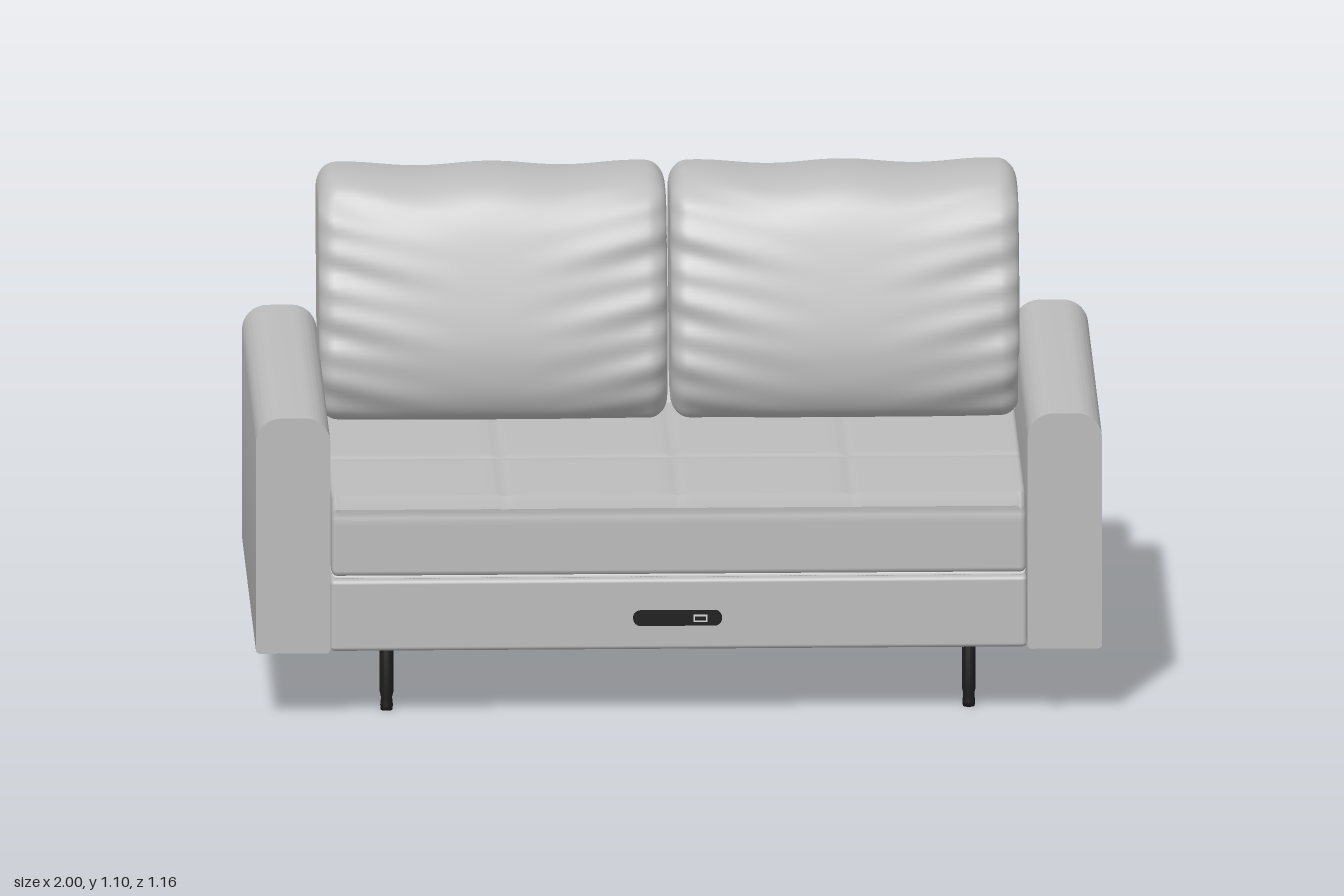
import * as THREE from 'three';
import { RoundedBoxGeometry } from 'three/addons/geometries/RoundedBoxGeometry.js';
import { toCreasedNormals } from 'three/addons/utils/BufferGeometryUtils.js';

const fabric = new THREE.MeshStandardMaterial({ color: 0xbcbcbc });
fabric.name = 'grey fabric';
const black = new THREE.MeshStandardMaterial({ color: 0x1c1c1c });
black.name = 'black';
const light = new THREE.MeshStandardMaterial({ color: 0xd8d8d8 });
light.name = 'light grey';

function add(parent, name, geometry, material, x = 0, y = 0, z = 0) {
  const mesh = new THREE.Mesh(geometry, material);
  mesh.name = name;
  mesh.position.set(x, y, z);
  parent.add(mesh);
  return mesh;
}

// Soft body: a closed (z, y) profile swept along x, with rounded ends and a surface rule.
function softLoft(profile, x0, x1, r, steps, rule) {
  const n = profile.length;
  const zs = profile.map((p) => p.x), ys = profile.map((p) => p.y);
  const cz = (Math.min(...zs) + Math.max(...zs)) / 2, hz = (Math.max(...zs) - Math.min(...zs)) / 2;
  const cy = (Math.min(...ys) + Math.max(...ys)) / 2, hy = (Math.max(...ys) - Math.min(...ys)) / 2;
  const sections = [];
  const round = 8;
  for (let k = 0; k <= round; k++) {
    const a = (k / round) * Math.PI / 2;
    sections.push([x0 + r * (1 - Math.cos(a)), r * (1 - Math.sin(a))]);
  }
  for (let k = 1; k < steps; k++) sections.push([x0 + r + (x1 - x0 - 2 * r) * k / steps, 0]);
  for (let k = round; k >= 0; k--) {
    const a = (k / round) * Math.PI / 2;
    sections.push([x1 - r * (1 - Math.cos(a)), r * (1 - Math.sin(a))]);
  }
  const positions = [], index = [];
  for (const [x, inset] of sections) {
    for (const p of profile) {
      const v = new THREE.Vector3(x, cy + (p.y - cy) * (1 - inset / hy), cz + (p.x - cz) * (1 - inset / hz));
      rule(v, (x - x0) / (x1 - x0));
      positions.push(v.x, v.y, v.z);
    }
  }
  const m = sections.length;
  for (let j = 0; j < m - 1; j++) {
    for (let i = 0; i < n; i++) {
      const a = j * n + i, d = j * n + (i + 1) % n;
      index.push(a, a + n, d, a + n, d + n, d);
    }
  }
  // End caps
  positions.push(x0, cy, cz, x1, cy, cz);
  for (let i = 0; i < n; i++) {
    const next = (i + 1) % n, last = (m - 1) * n;
    index.push(m * n, i, next, m * n + 1, last + next, last + i);
  }
  const g = new THREE.BufferGeometry();
  g.setAttribute('position', new THREE.Float32BufferAttribute(positions, 3));
  g.setIndex(index);
  g.computeVertexNormals();
  return g;
}

// Rectangle with separate top and bottom corner radii
function roundedShape(x0, x1, y0, y1, top, bottom) {
  const s = new THREE.Shape();
  s.moveTo(x0 + bottom, y0);
  s.lineTo(x1 - bottom, y0);
  s.absarc(x1 - bottom, y0 + bottom, bottom, -Math.PI / 2, 0);
  s.lineTo(x1, y1 - top);
  s.absarc(x1 - top, y1 - top, top, 0, Math.PI / 2);
  s.lineTo(x0 + top, y1);
  s.absarc(x0 + top, y1 - top, top, Math.PI / 2, Math.PI);
  s.lineTo(x0, y0 + bottom);
  s.absarc(x0 + bottom, y0 + bottom, bottom, Math.PI, Math.PI * 1.5);
  return s;
}

// Extrusion centred along its depth
function slab(shape, depth) {
  const g = new THREE.ExtrudeGeometry(shape, { depth, bevelEnabled: false, curveSegments: 12 });
  g.translate(0, 0, -depth / 2);
  return toCreasedNormals(g, 0.6);
}

// Back cushion with creases gathering toward its sides
function backCushion() {
  const pts = [
    [-0.20, 0.547], [-0.17, 0.60], [-0.163, 0.68], [-0.175, 0.76], [-0.222, 0.915], [-0.257, 1.0],
    [-0.287, 1.045], [-0.325, 1.075], [-0.385, 1.09], [-0.50, 1.09], [-0.55, 1.08], [-0.566, 1.045],
    [-0.54, 0.93], [-0.47, 0.70], [-0.425, 0.57], [-0.39, 0.54], [-0.24, 0.535]
  ].map(([z, y]) => new THREE.Vector3(z, y, 0));
  const profile = new THREE.CatmullRomCurve3(pts, true).getSpacedPoints(120).slice(0, 120);
  return softLoft(profile, 0.004, 0.828, 0.045, 56, (v, u) => {
    const edge = Math.abs(2 * u - 1) ** 3;
    const slant = -0.24 - 0.33 * (v.y - 0.54);
    const front = THREE.MathUtils.smoothstep(v.z, slant - 0.04, slant + 0.05);
    const side = u < 0.5 ? 1 : -1;
    const crease = Math.sin(v.y * 62 + side * u * 14) * Math.sin(v.y * 23 + 1 + side);
    v.z += front * (-0.018 * edge + 0.009 * Math.abs(2 * u - 1) ** 2 * crease);
    const top = THREE.MathUtils.smoothstep(v.y, 0.95, 1.08);
    v.y += top * 0.005 * Math.cos((u - 0.5) * 15);
  });
}

// Seat cushion with shallow stitched seams
function seatCushion() {
  const profile = [];
  const r = 0.028, z0 = -0.47, z1 = 0.566, y0 = 0.338, y1 = 0.535;
  const line = (za, ya, zb, yb, n) => {
    for (let i = 0; i < n; i++) profile.push(new THREE.Vector2(za + (zb - za) * i / n, ya + (yb - ya) * i / n));
  };
  const arc = (cz, cy, rad, from) => {
    for (let i = 0; i < 8; i++) {
      const a = from - i / 8 * Math.PI / 2;
      profile.push(new THREE.Vector2(cz + rad * Math.cos(a), cy + rad * Math.sin(a)));
    }
  };
  line(z1, y0 + 0.01, z1, y1 - r, 16);
  arc(z1 - r, y1 - r, r, 0);
  line(z1 - r, y1, z0 + r, y1, 110);
  arc(z0 + r, y1 - r, r, Math.PI / 2);
  line(z0, y1 - r, z0, y0 + 0.01, 4);
  arc(z0 + 0.01, y0 + 0.01, 0.01, Math.PI);
  line(z0 + 0.01, y0, z1 - 0.01, y0, 10);
  arc(z1 - 0.01, y0 + 0.01, 0.01, -Math.PI / 2);
  const groove = (d, w) => Math.exp(-((d / w) ** 2));
  return softLoft(profile, -0.82, 0.82, 0.012, 160, (v) => {
    const lengthwise = Math.max(...[-0.41, 0, 0.41].map((x) => groove(v.x - x, 0.012)));
    const top = THREE.MathUtils.smoothstep(v.y, 0.5, 0.53);
    v.y -= top * 0.005 * Math.max(lengthwise, groove(v.z - 0.15, 0.016));
    if (v.z > 0.53) v.z -= 0.004 * groove(v.y - 0.497, 0.01);
  });
}

export function createModel() {
  const sofa = new THREE.Group();
  sofa.name = 'sofa';

  // Frame
  add(sofa, 'base', new RoundedBoxGeometry(1.645, 0.172, 1.1, 3, 0.01), fabric, 0, 0.25, 0.018);
  const back = new THREE.Shape();
  back.moveTo(0.30, 0.165);
  back.lineTo(0.57, 0.165);
  back.quadraticCurveTo(0.58, 0.165, 0.58, 0.175);
  back.lineTo(0.58, 0.895);
  back.quadraticCurveTo(0.58, 0.922, 0.555, 0.922);
  back.lineTo(0.538, 0.922);
  back.quadraticCurveTo(0.52, 0.92, 0.515, 0.895);
  back.lineTo(0.468, 0.73);
  back.lineTo(0.40, 0.5);
  back.lineTo(0.30, 0.33);
  add(sofa, 'backrest', slab(back, 1.645), fabric).rotation.y = Math.PI / 2;

  // Cushions
  add(sofa, 'seat', seatCushion(), fabric);
  const cushion = backCushion();
  add(sofa, 'leftBackCushion', cushion, fabric);
  add(sofa, 'rightBackCushion', cushion, fabric).scale.x = -1;

  // Arms and legs, mirrored
  const arm = slab(roundedShape(-0.088, 0.088, 0.163, 0.734, 0.06, 0.01), 1.16);
  const leg = new THREE.LatheGeometry(
    [[0, 0], [0.014, 0], [0.015, 0.012], [0.013, 0.03], [0.0165, 0.045], [0.0165, 0.17], [0, 0.17]]
      .map(([x, y]) => new THREE.Vector2(x, y)), 20);
  for (const [side, s] of [['left', 1], ['right', -1]]) {
    add(sofa, side + 'Arm', arm, fabric, s * 0.912);
    add(sofa, side + 'FrontLeg', leg, black, s * 0.688, 0, 0.47);
    add(sofa, side + 'BackLeg', leg, black, s * 0.688, 0, -0.466);
  }

  // Control panel on the front of the base
  add(sofa, 'controlPanel', slab(roundedShape(-0.108, 0.102, 0.224, 0.26, 0.0175, 0.0175), 0.016), black, 0, 0, 0.57);
  add(sofa, 'controlButtonRim', new THREE.BoxGeometry(0.034, 0.018, 0.004), light, 0.051, 0.242, 0.5785);
  add(sofa, 'controlButton', new THREE.BoxGeometry(0.026, 0.01, 0.004), black, 0.051, 0.242, 0.5795);

  return sofa;
}
